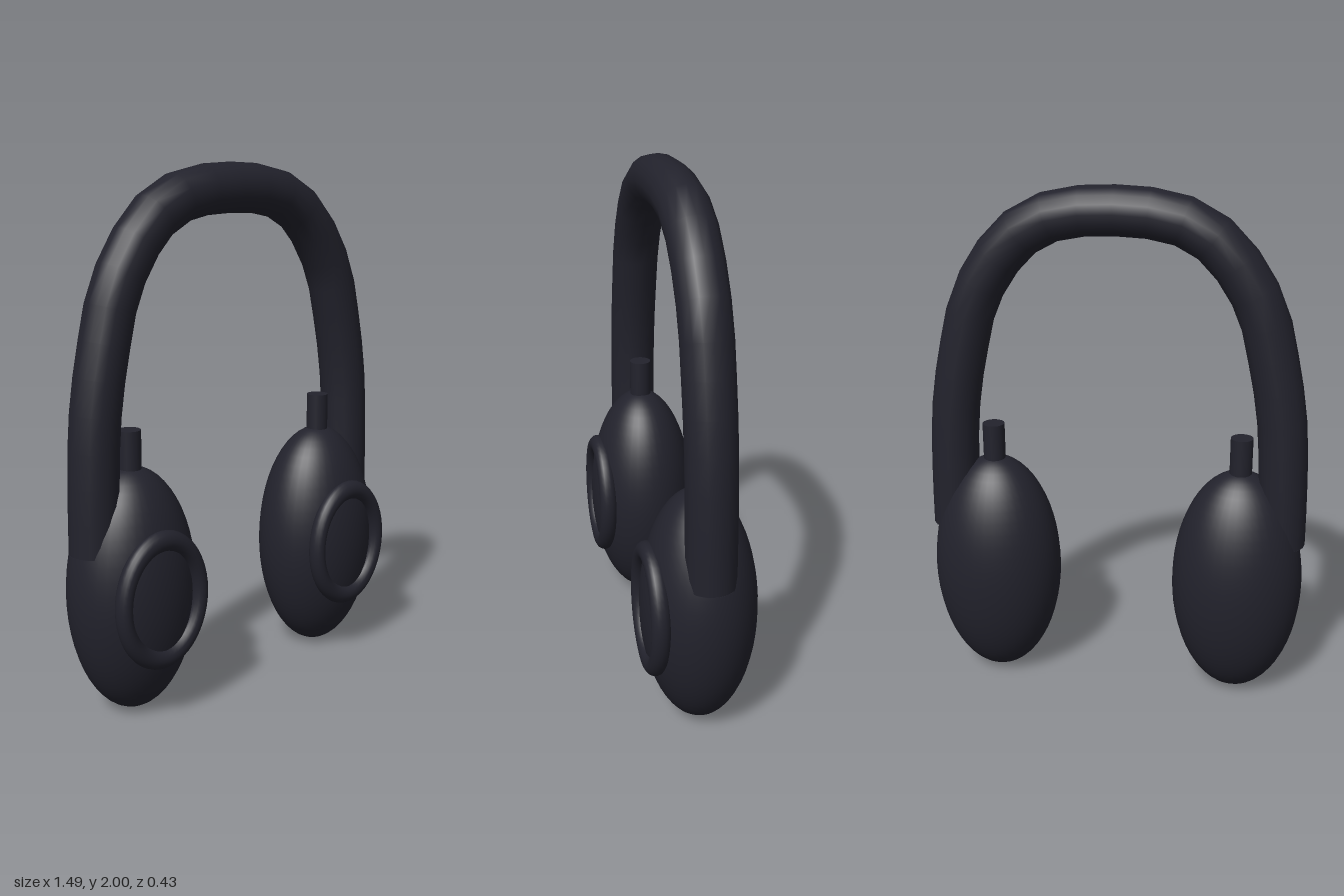
import * as THREE from 'three';

export function createModel() {
  const group = new THREE.Group();
  group.name = 'headphones';
  const charcoal = new THREE.MeshStandardMaterial({ color: 0x22222c, side: THREE.DoubleSide });
  charcoal.name = 'charcoal';

  const add = (parent, name, geometry, x, y, z) => {
    const mesh = new THREE.Mesh(geometry, charcoal);
    mesh.name = name;
    mesh.position.set(x, y, z);
    parent.add(mesh);
    return mesh;
  };

  // Headband: half of the arch, mirrored to the other side
  const half = [
    [0.65, 0.64], [0.647, 0.86], [0.636, 1.09], [0.615, 1.245], [0.581, 1.406],
    [0.534, 1.574], [0.417, 1.759], [0.324, 1.84], [0.222, 1.885], [0.11, 1.903],
  ];
  const path = [
    ...half.map(([x, y]) => new THREE.Vector3(x, y, 0)),
    new THREE.Vector3(0, 1.907, 0),
    ...half.slice().reverse().map(([x, y]) => new THREE.Vector3(-x, y, 0)),
  ];
  const curve = new THREE.CatmullRomCurve3(path);
  add(group, 'headband', new THREE.TubeGeometry(curve, 26, 0.093, 16), 0, 0, 0);

  for (const side of [1, -1]) {
    const ear = new THREE.Group();
    ear.name = side > 0 ? 'leftEarpiece' : 'rightEarpiece';
    ear.position.x = side * 0.485;
    group.add(ear);

    // Closed lower end of the band
    const cap = add(group, 'bandEnd', new THREE.CircleGeometry(0.093, 16), side * 0.65, 0.64, 0);
    cap.rotation.x = Math.PI / 2;

    // Egg-shaped cup
    const cup = new THREE.SphereGeometry(1, 40, 28).scale(0.255, 0.465, 0.215);
    add(ear, 'earCup', cup, 0, 0.465, 0);

    // Oval ring on the front of the cup
    const ring = new THREE.TorusGeometry(0.173, 0.03, 16, 48).scale(1, 1.285, 1.17);
    add(ear, 'cushionRing', ring, 0, 0.468, 0.18);

    // Short post on top of the cup
    add(ear, 'adjusterPost', new THREE.CylinderGeometry(0.043, 0.043, 0.26, 20), 0, 0.935, 0);
  }
  return group;
}
